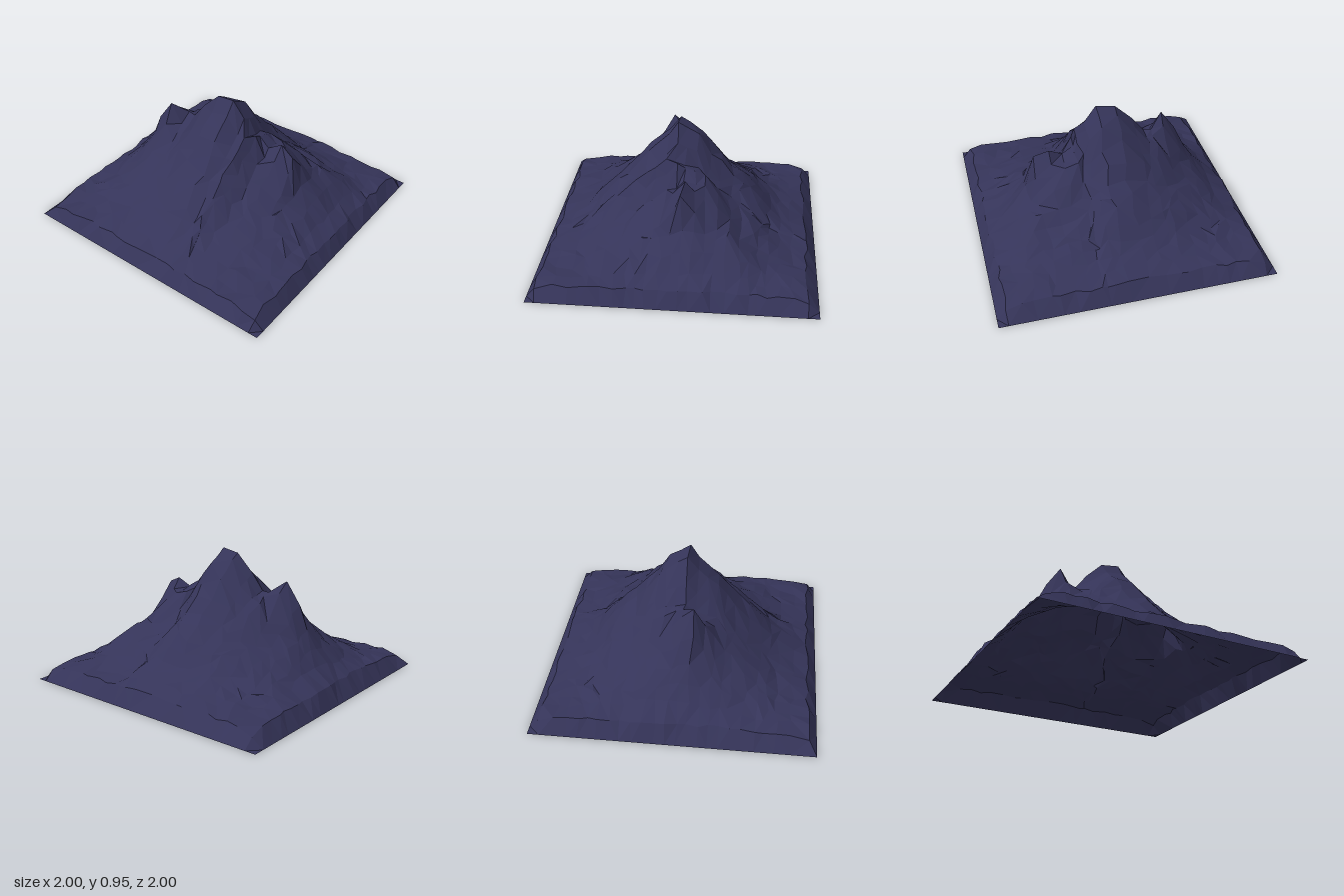
import * as THREE from 'three';

// Height of the jagged crest along x
const ridge = [
  [-1, 0.1], [-0.92, 0.13], [-0.8, 0.22], [-0.72, 0.31], [-0.64, 0.43], [-0.56, 0.6], [-0.45, 0.76],
  [-0.35, 0.68], [-0.29, 0.68], [-0.2, 0.8], [-0.07, 0.93], [0.07, 0.95], [0.16, 0.83], [0.22, 0.73],
  [0.26, 0.72], [0.34, 0.62], [0.44, 0.68], [0.55, 0.63], [0.62, 0.42], [0.73, 0.3], [0.83, 0.19],
  [0.93, 0.12], [1, 0.1],
];
// Smoother height along x for the slopes away from the crest
const flank = [
  [-1, 0.1], [-0.92, 0.13], [-0.8, 0.22], [-0.64, 0.41], [-0.45, 0.61], [-0.29, 0.72], [-0.07, 0.92],
  [0.07, 0.93], [0.16, 0.81], [0.34, 0.59], [0.55, 0.43], [0.73, 0.29], [0.83, 0.19], [0.93, 0.12], [1, 0.1],
];
// Slope height along z, through the summit
const slope = [
  [-1, 0.1], [-0.92, 0.12], [-0.72, 0.21], [-0.65, 0.27], [-0.52, 0.43], [-0.36, 0.57], [-0.27, 0.69],
  [-0.17, 0.8], [-0.12, 0.87], [0.03, 0.95], [0.1, 0.86], [0.18, 0.79], [0.25, 0.73], [0.39, 0.55],
  [0.57, 0.36], [0.71, 0.22], [0.93, 0.11], [1, 0.1],
];
// Where the crest runs in z, for each x
const crest = [
  [-1, 0.1], [-0.45, 0.1], [-0.35, 0.03], [0.16, 0.03], [0.22, 0.1], [0.26, 0.03], [0.34, -0.04],
  [0.55, -0.04], [0.73, -0.12], [1, -0.12],
];
// Side spur running back from the summit: z and added height for each x
const spurZ = [[0.16, -0.15], [0.5, -0.3], [0.74, -0.45]];
const spurRise = [[0.16, 0], [0.3, 0.08], [0.5, 0.09], [0.74, 0.04], [0.85, 0]];

const zLines = [
  -1, -0.92, -0.82, -0.72, -0.65, -0.58, -0.52, -0.44, -0.36, -0.27, -0.2, -0.12, -0.04, 0.03,
  0.1, 0.18, 0.25, 0.32, 0.39, 0.48, 0.57, 0.64, 0.71, 0.82, 0.93, 1,
];
const xLines = ridge.map((p) => p[0]);

// Straight-line lookup in a profile, held level past its ends
function sample(profile, t) {
  if (t <= profile[0][0]) return profile[0][1];
  for (let i = 1; i < profile.length; i++) {
    const [a, ha] = profile[i - 1];
    const [b, hb] = profile[i];
    if (t <= b) return ha + ((hb - ha) * (t - a)) / (b - a);
  }
  return profile[profile.length - 1][1];
}

// Repeatable noise from -1 to 1
function noise(i, j, k) {
  const s = Math.sin(i * 127.1 + j * 311.7 + k * 74.7) * 43758.5453;
  return (s - Math.floor(s)) * 2 - 1;
}

function height(x, z) {
  const c = sample(crest, x);
  const u = z > c ? 0.03 + ((z - c) / (1 - c)) * 0.97 : 0.03 - ((c - z) / (1 + c)) * 1.03;
  const base = 0.1;
  // Peaks and notches fade out a short way from the crest
  const near = Math.max(0, 1 - Math.abs(z - c) / 0.2);
  const top = sample(ridge, x) * near + sample(flank, x) * (1 - near);
  const spur = sample(spurRise, x) * Math.max(0, 1 - Math.abs(z - sample(spurZ, x)) / 0.17);
  const h = base + ((top - base) * (sample(slope, u) - base)) / (0.95 - base) + spur;
  // Outer rim drops to the ground, lower still at the corners
  const ax = Math.abs(x);
  const az = Math.abs(z);
  return h * Math.min(1, (1 - Math.max(ax, az)) / 0.07, (2 - ax - az) / 0.22);
}

function mountainGeometry() {
  const nx = xLines.length;
  const nz = zLines.length;
  const positions = [];
  const index = [];
  for (let i = 0; i < nx; i++) {
    for (let j = 0; j < nz; j++) {
      let x = xLines[i];
      let z = zLines[j];
      const inner = i > 1 && j > 1 && i < nx - 2 && j < nz - 2;
      const edge = i === 0 || j === 0 || i === nx - 1 || j === nz - 1;
      // Rough up the slopes, but keep the crest line crisp
      const away = Math.min(1, Math.abs(z - sample(crest, x)) / 0.2);
      if (inner) {
        x += noise(i, j, 1) * 0.025 * away;
        z += noise(i, j, 2) * 0.022 * away;
      }
      let y = edge ? 0 : height(x, z);
      if (!edge) {
        y += noise(i, j, 3) * (inner ? 0.011 * away : 0.008);
        z += noise(i, j, 5) * 0.015 * (inner ? 1 - away : 1);
        if (!inner) x += noise(i, j, 6) * 0.015;
      }
      positions.push(x, y, z);
    }
  }
  // Two triangles per cell, with the diagonal turned irregularly
  for (let i = 0; i < nx - 1; i++) {
    for (let j = 0; j < nz - 1; j++) {
      const a = i * nz + j;
      const b = a + 1;
      const c = a + nz;
      const d = c + 1;
      if (noise(i, j, 4) > 0) index.push(a, b, c, b, d, c);
      else index.push(a, b, d, a, d, c);
    }
  }
  const indexed = new THREE.BufferGeometry();
  indexed.setAttribute('position', new THREE.Float32BufferAttribute(positions, 3));
  indexed.setIndex(index);
  const geometry = indexed.toNonIndexed();
  geometry.computeVertexNormals();
  return geometry;
}

export function createModel() {
  const group = new THREE.Group();
  group.name = 'mountain';
  const rock = new THREE.MeshStandardMaterial({
    color: 0x353459, flatShading: true, side: THREE.DoubleSide,
  });
  rock.name = 'slate rock';
  // Open shell of rock
  const terrain = new THREE.Mesh(mountainGeometry(), rock);
  terrain.name = 'mountainSlopes';
  group.add(terrain);
  return group;
}
